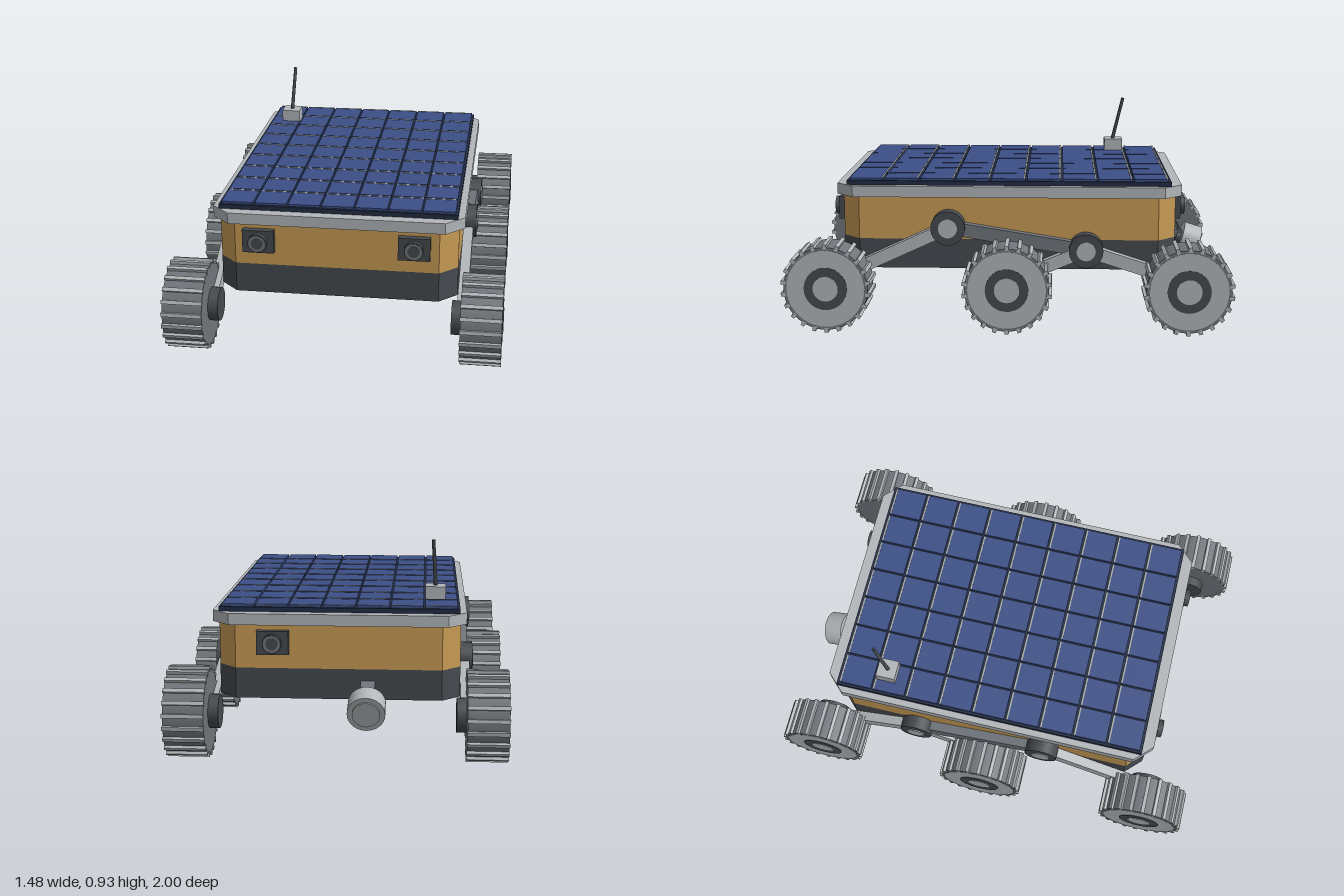
import * as THREE from 'three';

const mat = (name, color, extra = {}) => Object.assign(new THREE.MeshStandardMaterial({ color, ...extra }), { name });

export function createModel() {
  const gold = mat('gold foil', 0xc89c55);
  const dark = mat('dark grey', 0x464a4f);
  const light = mat('light metal', 0xb3b7ba);
  const mid = mat('mid grey', 0x70767c);
  const blue = mat('solar blue', 0x3c4f86);
  const navy = mat('panel navy', 0x222c44);
  const bus = mat('pale contact', 0xa8aca8);

  const rover = new THREE.Group();
  rover.name = 'rover';

  const add = (parent, name, geo, material, x = 0, y = 0, z = 0) => {
    const mesh = new THREE.Mesh(geo, material);
    mesh.name = name;
    mesh.position.set(x, y, z);
    parent.add(mesh);
    return mesh;
  };
  const box = (w, h, d) => new THREE.BoxGeometry(w, h, d);
  // cylinders lying along x or z
  const cylX = (r, len, seg = 32) => new THREE.CylinderGeometry(r, r, len, seg).rotateZ(Math.PI / 2);
  const cylZ = (r, len, seg = 24) => new THREE.CylinderGeometry(r, r, len, seg).rotateX(Math.PI / 2);

  // upright slab with cut corners
  const slab = (name, hx, hz, cut, y0, y1, material) => {
    const shape = new THREE.Shape([
      [hx, hz - cut], [hx - cut, hz], [cut - hx, hz], [-hx, hz - cut],
      [-hx, cut - hz], [cut - hx, -hz], [hx - cut, -hz], [hx, cut - hz],
    ].map(([x, z]) => new THREE.Vector2(x, z)));
    const geo = new THREE.ExtrudeGeometry(shape, { depth: y1 - y0, bevelEnabled: false });
    add(rover, name, geo.rotateX(-Math.PI / 2), material, 0, y0, 0);
  };
  slab('lowerBody', 0.53, 0.755, 0.08, 0.25, 0.385, dark);
  slab('upperBody', 0.53, 0.755, 0.08, 0.385, 0.585, gold);
  slab('deck', 0.555, 0.78, 0.08, 0.58, 0.63, light);

  // solar panel: backing, 7 x 9 cells, one contact strip per cell
  const panel = new THREE.Group();
  panel.name = 'solarPanel';
  rover.add(panel);
  add(panel, 'panelBacking', box(1.05, 0.02, 1.46), navy, 0, 0.64, 0);
  const px = 0.148, pz = 0.1605;
  const cellGeo = box(px - 0.008, 0.01, pz - 0.008);
  const busGeo = box(px - 0.012, 0.003, 0.008);
  for (let i = 0; i < 7; i++) {
    for (let j = 0; j < 9; j++) {
      const x = (i - 3) * px, z = (j - 4) * pz;
      add(panel, 'cell', cellGeo, blue, x, 0.655, z);
      add(panel, 'contactStrip', busGeo, bus, x, 0.66, z - pz / 2 + 0.009);
    }
  }

  // wheel geometry shared by all six
  const cleats = 22;
  const tyreGeo = cylX(0.187, 0.176, 44);
  const rimGeo = cylX(0.173, 0.012, 40);
  const ringGeo = cylX(0.096, 0.012);
  const capGeo = cylX(0.056, 0.012);
  const cleatGeo = box(0.18, 0.022, 0.017);
  const motorGeo = cylX(0.075, 0.05);
  const makeWheel = (s, z) => {
    const wheel = new THREE.Group();
    wheel.name = 'wheel';
    wheel.position.set(s * 0.645, 0.2, z);
    rover.add(wheel);
    add(wheel, 'tyre', tyreGeo, mid);
    add(wheel, 'rimDisc', rimGeo, light, s * 0.0835);
    add(wheel, 'hubRing', ringGeo, dark, s * 0.0855);
    add(wheel, 'hubCap', capGeo, light, s * 0.0875);
    add(wheel, 'motor', motorGeo, dark, s * -0.107);
    for (let i = 0; i < cleats; i++) {
      const a = (i / cleats) * Math.PI * 2;
      const c = add(wheel, 'cleat', cleatGeo, light, 0, 0.189 * Math.cos(a), 0.189 * Math.sin(a));
      c.rotation.x = a;
    }
  };

  // suspension bar between two [z, y] points
  const bar = (s, name, [z0, y0], [z1, y1], material, w = 0.058, x = 0.555) => {
    const m = add(rover, name, box(0.045, w, Math.hypot(z1 - z0, y1 - y0)), material,
      s * x, (y0 + y1) / 2, (z0 + z1) / 2);
    m.rotation.x = -Math.atan2(y1 - y0, z1 - z0);
  };
  const rocker = [0.27, 0.445], bogie = [-0.35, 0.345];
  for (const s of [-1, 1]) {
    for (const z of [0.8, 0, -0.8]) makeWheel(s, z);
    bar(s, 'frontArm', rocker, [0.8, 0.2], light);
    bar(s, 'rockerArm', bogie, rocker, mid, 0.06, 0.551);
    bar(s, 'bogieFrontArm', bogie, [0, 0.2], light);
    bar(s, 'bogieRearArm', [-0.8, 0.2], bogie, light);
    for (const [z, y] of [rocker, bogie]) {
      add(rover, 'pivot', cylX(0.077, 0.065), dark, s * 0.5585, y, z);
      add(rover, 'pivotCap', cylX(0.043, 0.008), light, s * 0.592, y, z);
    }
  }

  // cameras: two on the front, one at the back
  const camera = (x, z, dir) => {
    const cam = new THREE.Group();
    cam.name = 'camera';
    cam.position.set(x, 0.503, z);
    rover.add(cam);
    add(cam, 'housing', box(0.14, 0.104, 0.04), dark, 0, 0, dir * 0.01);
    add(cam, 'lensBarrel', cylZ(0.042, 0.03), dark, 0, 0, dir * 0.037);
    add(cam, 'lensRing', cylZ(0.037, 0.004), mid, 0, 0, dir * 0.0515);
    add(cam, 'lensGlass', cylZ(0.026, 0.004), dark, 0, 0, dir * 0.0525);
  };
  camera(0.342, 0.755, 1);
  camera(-0.342, 0.755, 1);
  camera(0.285, -0.758, -1);

  // rear instrument on a short sloping arm
  const arm = add(rover, 'instrumentArm', box(0.062, 0.05, 0.17), mid, -0.128, 0.285, -0.79);
  arm.rotation.x = -0.5;
  const head = new THREE.Group();
  head.name = 'instrumentHead';
  head.position.set(-0.128, 0.242, -0.878);
  head.rotation.x = -0.3;
  rover.add(head);
  add(head, 'headDrum', cylZ(0.082, 0.09, 28), light);
  add(head, 'headFace', cylZ(0.06, 0.012, 28), light, 0, 0, -0.045);
  add(head, 'headMount', cylZ(0.04, 0.04), dark, 0, 0, 0.05);

  // antenna
  add(rover, 'antennaBase', box(0.09, 0.058, 0.09), light, -0.418, 0.687, -0.505);
  const from = new THREE.Vector3(-0.419, 0.7, -0.5), to = new THREE.Vector3(-0.406, 0.925, -0.553);
  const dir = to.clone().sub(from);
  const rod = add(rover, 'antennaRod', new THREE.CylinderGeometry(0.008, 0.009, dir.length(), 10), dark);
  rod.position.copy(from).addScaledVector(dir, 0.5);
  rod.quaternion.setFromUnitVectors(new THREE.Vector3(0, 1, 0), dir.normalize());

  return rover;
}
